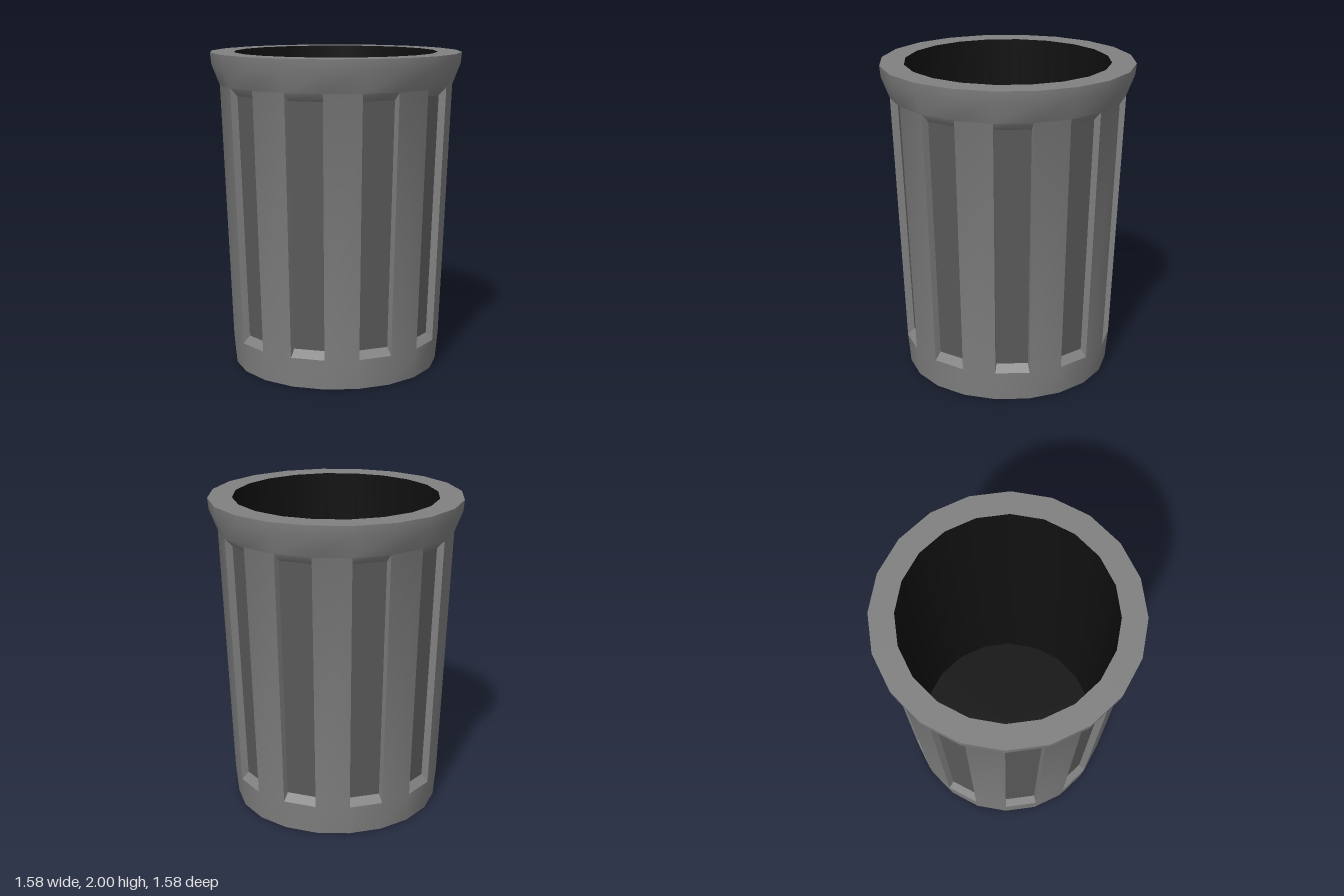
import * as THREE from 'three';
import { toCreasedNormals } from 'three/addons/utils/BufferGeometryUtils.js';

const SIDES = 20;
const STEP = (Math.PI * 2) / SIDES;
const DEPTH = 0.045; // how far the panels sit behind the wall
const INSET = 0.008; // sideways slope of the recess walls

// Outer profile [radius, height], from the foot to the inner edge of the rim
const PROFILE = [[0.655, 0], [0.672, 0.19], [0.733, 1.8], [0.783, 1.93], [0.79, 2], [0.64, 2]];
const WALL_ROW = 1; // the profile row that carries the recesses

const ringPoint = (i, [r, y]) =>
  new THREE.Vector3(r * Math.sin(i * STEP), y, r * Math.cos(i * STEP));

// Corners run counter-clockwise as seen from outside
function addQuad(list, a, b, c, d) {
  for (const p of [a, b, c, a, c, d]) list.push(p);
}

function makeMesh(name, points, color, crease) {
  let geometry = new THREE.BufferGeometry().setFromPoints(points);
  geometry.computeVertexNormals();
  if (crease) geometry = toCreasedNormals(geometry, crease);
  const mesh = new THREE.Mesh(geometry, new THREE.MeshStandardMaterial({ color }));
  mesh.name = name;
  return mesh;
}

// Corner of a sunken panel, moved in from the wall on side i or i + 1
function panelCorner(i, right, y) {
  const [r0, y0] = PROFILE[WALL_ROW];
  const [r1, y1] = PROFILE[WALL_ROW + 1];
  const r = r0 + ((r1 - r0) * (y - y0)) / (y1 - y0);
  const mid = (i + 0.5) * STEP;
  const normal = new THREE.Vector3(Math.sin(mid), 0, Math.cos(mid));
  const tangent = new THREE.Vector3(Math.cos(mid), 0, -Math.sin(mid));
  return ringPoint(i + (right ? 1 : 0), [r, y])
    .addScaledVector(normal, -DEPTH)
    .addScaledVector(tangent, right ? -INSET : INSET);
}

export function createModel() {
  const group = new THREE.Group();
  group.name = 'wasteBin';
  const body = [];
  const panels = [];

  for (let i = 0; i < SIDES; i++) {
    for (let row = 0; row < PROFILE.length - 1; row++) {
      const outer = [
        ringPoint(i, PROFILE[row]), ringPoint(i + 1, PROFILE[row]),
        ringPoint(i + 1, PROFILE[row + 1]), ringPoint(i, PROFILE[row + 1]),
      ];
      if (row !== WALL_ROW || i % 2 === 1) {
        addQuad(body, ...outer);
        continue;
      }
      // Every second side is a recess: four sloping walls around a panel
      const inner = [
        panelCorner(i, false, 0.235), panelCorner(i, true, 0.235),
        panelCorner(i, true, 1.75), panelCorner(i, false, 1.75),
      ];
      for (let k = 0; k < 4; k++) {
        const n = (k + 1) % 4;
        addQuad(body, outer[k], outer[n], inner[n], inner[k]);
      }
      addQuad(panels, ...inner);
    }
  }
  group.add(makeMesh('outerBody', body, 0x808080, 0.6));
  group.add(makeMesh('recessedPanels', panels, 0x5a5a5a));

  // Underside
  const base = new THREE.Mesh(
    new THREE.CircleGeometry(PROFILE[0][0], SIDES).rotateX(Math.PI / 2),
    new THREE.MeshStandardMaterial({ color: 0x808080 })
  );
  base.name = 'base';
  group.add(base);

  // Dark inner wall and floor, profile running downwards so it faces inwards
  const linerProfile = [[0.64, 2], [0.61, 0.04], [0, 0.04]].map(([x, y]) => new THREE.Vector2(x, y));
  const liner = new THREE.Mesh(
    toCreasedNormals(new THREE.LatheGeometry(linerProfile, SIDES), 0.6),
    new THREE.MeshStandardMaterial({ color: 0x101010 })
  );
  liner.name = 'innerLiner';
  group.add(liner);

  return group;
}
